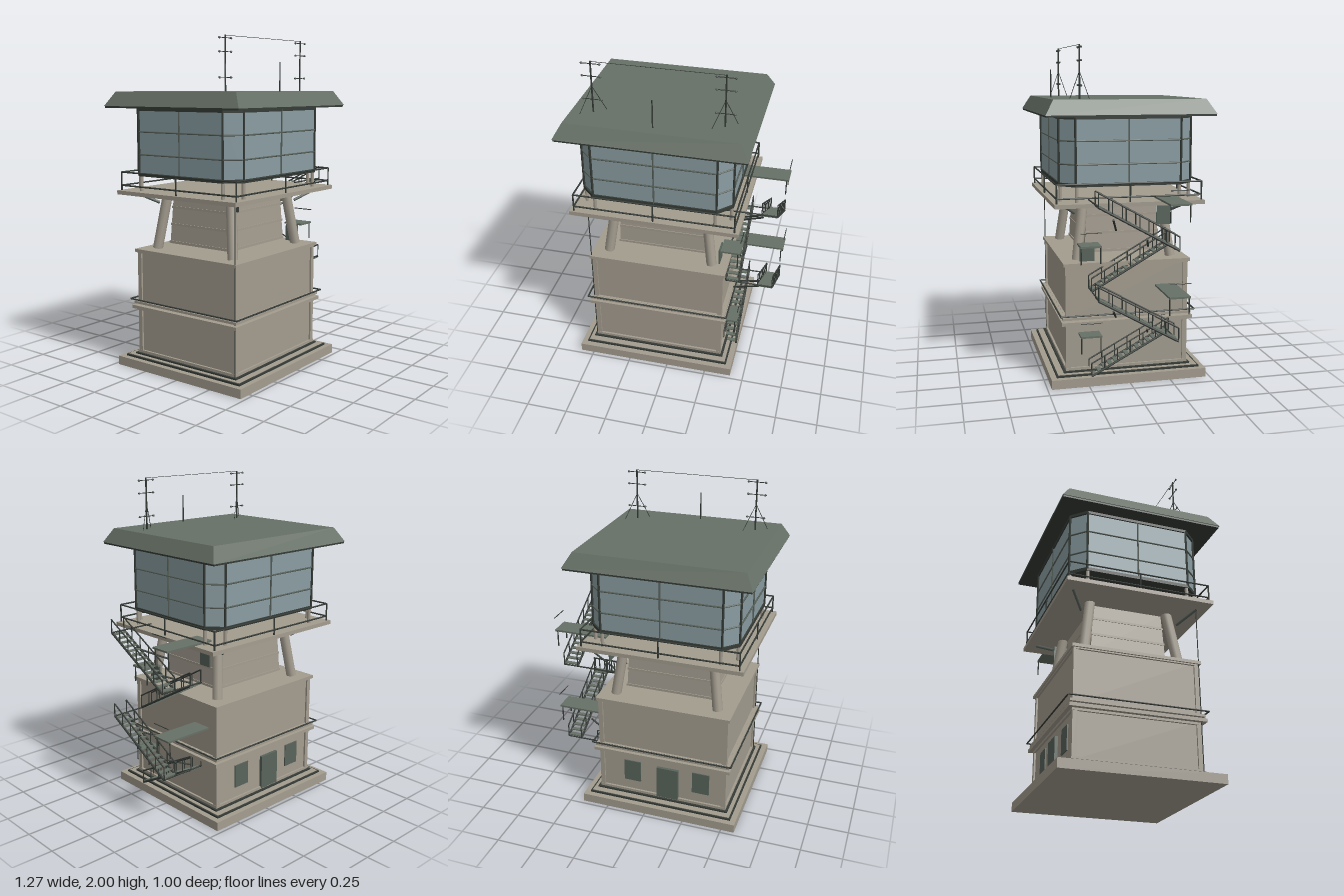
import * as THREE from 'three';

const CX = -0.083; // tower axis; the stairs hang off its left side

export function createModel() {
  const root = new THREE.Group();
  const mat = (name, color, side = THREE.FrontSide) => {
    const m = new THREE.MeshStandardMaterial({ color, side });
    m.name = name;
    return m;
  };
  const concrete = mat('concrete', 0xa39c8f);
  const green = mat('roofGreen', 0x667066);
  const dark = mat('darkMetal', 0x363c37);
  const glass = mat('glass', 0x8a9da2);
  const mullion = mat('mullion', 0x59625b);
  const door = mat('doorGreen', 0x58645b);

  const add = (name, geo, m, parent = root) => {
    const mesh = new THREE.Mesh(geo, m);
    mesh.name = name;
    parent.add(mesh);
    return mesh;
  };
  const group = (name) => {
    const g = new THREE.Group();
    g.name = name;
    root.add(g);
    return g;
  };
  // box given by its limits
  const box = (name, x0, x1, y0, y1, z0, z1, m, parent) => {
    const mesh = add(name, new THREE.BoxGeometry(x1 - x0, y1 - y0, z1 - z0), m, parent);
    mesh.position.set((x0 + x1) / 2, (y0 + y1) / 2, (z0 + z1) / 2);
    return mesh;
  };
  // slab centred on the tower axis
  const slab = (name, hx, hz, y0, y1, m, parent) => box(name, CX - hx, CX + hx, y0, y1, -hz, hz, m, parent);
  // round bar or square beam between two points
  const bar = (name, a, b, r, m = dark, parent = root, sides = 6) => {
    const p = new THREE.Vector3(...a), q = new THREE.Vector3(...b);
    const d = q.clone().sub(p);
    const mesh = add(name, new THREE.CylinderGeometry(r, r, d.length(), sides), m, parent);
    mesh.position.copy(p).add(q).multiplyScalar(0.5);
    mesh.quaternion.setFromUnitVectors(new THREE.Vector3(0, 1, 0), d.normalize());
    return mesh;
  };
  // four-sided tapered block
  const frustum = (name, bx, bz, tx, tz, y0, y1, m) => {
    const g = new THREE.BoxGeometry(2, y1 - y0, 2), p = g.attributes.position;
    for (let i = 0; i < p.count; i++) {
      const top = p.getY(i) > 0;
      p.setX(i, p.getX(i) * (top ? tx : bx));
      p.setZ(i, p.getZ(i) * (top ? tz : bz));
    }
    g.computeVertexNormals();
    add(name, g, m).position.set(CX, (y0 + y1) / 2, 0);
  };
  const corners = [[-1, -1], [-1, 1], [1, 1], [1, -1]];

  // foundation
  slab('foundation', 0.5, 0.475, 0, 0.055, concrete);
  slab('foundationEdge', 0.465, 0.44, 0.055, 0.066, dark);
  slab('foundationStep', 0.455, 0.43, 0.055, 0.069, concrete);
  slab('plinthShadowLine', 0.432, 0.392, 0.069, 0.078, dark);

  // two lower storeys with corner posts and ledges
  const storey = (name, y0, y1) => {
    const g = group(name);
    slab('wall', 0.405, 0.365, y0, y1, concrete, g);
    slab('baseTrim', 0.418, 0.378, y0, y0 + 0.016, concrete, g);
    slab('topTrim', 0.418, 0.378, y1 - 0.022, y1 - 0.008, concrete, g);
    for (const [sx, sz] of corners) {
      const x = CX + sx * 0.402, z = sz * 0.362;
      box('cornerPost', x - 0.014, x + 0.014, y0, y1, z - 0.014, z + 0.014, concrete, g);
    }
  };
  storey('lowerStorey', 0.078, 0.37);
  slab('lowerLedge', 0.443, 0.402, 0.362, 0.382, concrete);
  storey('middleStorey', 0.393, 0.73);
  slab('middleLedge', 0.435, 0.395, 0.393, 0.408, concrete);
  for (const s of [-1, 1]) {
    bar('ledgePipe', [CX - 0.45, 0.422, s * 0.41], [CX + 0.45, 0.422, s * 0.41], 0.005);
    bar('ledgePipe', [CX + s * 0.45, 0.422, -0.41], [CX + s * 0.45, 0.422, 0.41], 0.005);
  }
  slab('middleRoofLedge', 0.428, 0.388, 0.716, 0.735, concrete);

  // rear door and windows
  box('rearDoor', -0.19, -0.05, 0.085, 0.3, -0.384, -0.364, door);
  box('rearWindow', 0.06, 0.17, 0.16, 0.305, -0.372, -0.364, door);
  box('rearWindow', -0.39, -0.28, 0.16, 0.305, -0.372, -0.364, door);

  // recessed core with joints, raking legs and corner braces
  frustum('core', 0.275, 0.232, 0.258, 0.215, 0.765, 1.08, concrete);
  for (const [i, y] of [0.775, 0.885, 0.99].entries())
    slab('coreBand', 0.279 - i * 0.006, 0.236 - i * 0.006, y - 0.007, y + 0.007, concrete);
  for (const [sx, sz] of corners) {
    bar('leg', [CX + sx * 0.327, 0.735, sz * 0.29], [CX + sx * 0.28, 1.08, sz * 0.242], 0.031, concrete, root, 10);
    bar('cornerBrace', [CX + sx * 0.295, 1.015, sz * 0.3], [CX + sx * 0.41, 1.08, sz * 0.385], 0.009, mullion);
  }

  // balcony slab and railing
  slab('balcony', 0.51, 0.448, 1.076, 1.1, concrete);
  const rail = group('balconyRailing');
  const RX = 0.484, RZ = 0.433;
  for (const y of [1.13, 1.21]) {
    for (const s of [-1, 1]) {
      bar('rail', [CX - RX, y, s * RZ], [CX + RX, y, s * RZ], 0.005, dark, rail);
      bar('rail', [CX + s * RX, y, -RZ], [CX + s * RX, y, RZ], 0.005, dark, rail);
    }
  }
  for (const [sx, sz] of [...corners, [0, 1], [0, -1], [1, 0], [-1, 0]])
    bar('railPost', [CX + sx * RX, 1.1, sz * RZ], [CX + sx * RX, 1.21, sz * RZ], 0.005, dark, rail);

  // octagonal glazed cabin
  const ring = [];
  for (const [sx, sz] of corners) {
    const a = [sx * 0.37, sz * 0.4], b = [sx * 0.452, sz * 0.315];
    ring.push(...(sx * sz > 0 ? [a, b] : [b, a]));
  }
  const octagon = (name, k, y0, y1, m) => {
    const s = new THREE.Shape(ring.map(([x, z]) => new THREE.Vector2(x * k, -z * k)));
    const g = new THREE.ExtrudeGeometry(s, { depth: y1 - y0, bevelEnabled: false });
    g.rotateX(-Math.PI / 2);
    add(name, g, m).position.set(CX, y0, 0);
  };
  octagon('cabinFloor', 1.01, 1.19, 1.21, dark);
  octagon('cabinGlass', 0.99, 1.21, 1.58, glass);
  octagon('cabinHead', 1.01, 1.578, 1.6, dark);
  const frame = group('cabinFrame');
  ring.forEach(([x, z], i) => {
    const [u, w] = ring[(i + 1) % 8];
    bar('cornerMullion', [CX + x, 1.2, z], [CX + x, 1.59, z], 0.007, dark, frame);
    for (const y of [1.32, 1.455]) bar('transom', [CX + x, y, z], [CX + u, y, w], 0.005, mullion, frame);
    if (Math.hypot(x - u, z - w) > 0.3) {
      const mx = CX + (x + u) / 2, mz = (z + w) / 2;
      bar('middleMullion', [mx, 1.2, mz], [mx, 1.59, mz], 0.005, mullion, frame);
    }
    bar('cabinStub', [CX + x * 0.98, 1.1, z * 0.98], [CX + x * 0.98, 1.19, z * 0.98], 0.011, concrete, frame, 8);
  });

  // roof
  slab('roofEave', 0.548, 0.496, 1.595, 1.61, dark);
  frustum('roof', 0.553, 0.5, 0.505, 0.448, 1.606, 1.692, green);

  // roof aerials with guys and a wire between them
  for (const x of [-0.46, 0.3]) {
    const g = group('aerial'), z = 0.277;
    bar('mast', [x, 1.69, z], [x, 2, z], 0.005, dark, g);
    for (const y of [1.77, 1.91, 1.985]) {
      bar('crossbar', [x - 0.06, y, z], [x + 0.06, y, z], 0.0025, dark, g);
      for (const s of [-1, 1])
        add('insulator', new THREE.SphereGeometry(0.007, 8, 6), mullion, g).position.set(x + s * 0.052, y, z);
    }
    for (const s of [-1, 1])
      bar('guy', [x, 1.85, z], [x + s * 0.066, 1.69, z - s * 0.046], 0.002, dark, g);
  }
  bar('aerialWire', [-0.46, 1.998, 0.277], [0.3, 1.998, 0.277], 0.0015);
  bar('roofRod', [CX, 1.69, 0.385], [CX, 1.86, 0.385], 0.004);
  bar('groundCable', [-0.502, 0.06, 0.375], [-0.502, 1.08, 0.375], 0.003);

  // zigzag stairs: inner flights climb to the rear, outer flights to the front
  const levels = [0.06, 0.31, 0.578, 0.845, 1.11];
  for (let f = 0; f < 4; f++) {
    const g = group('stairFlight');
    const [x0, x1] = f % 2 ? [0.528, 0.618] : [0.328, 0.41];
    const dir = f % 2 ? 1 : -1, y0 = levels[f], y1 = levels[f + 1];
    const at = (t) => [y0 + (y1 - y0) * t, dir * (t - 0.5) * 0.47];
    for (const x of [x0, x1]) {
      const [ya, za] = at(0), [yb, zb] = at(1);
      bar('stringer', [x, ya, za], [x, yb, zb], 0.007, dark, g);
      bar('handrail', [x, ya + 0.08, za], [x, yb + 0.08, zb], 0.0045, dark, g);
      for (let i = 0; i <= 6; i++) {
        const [y, z] = at(i / 6);
        bar('baluster', [x, y, z], [x, y + 0.08, z], 0.0035, dark, g);
      }
    }
    for (let i = 0; i < 14; i++) {
      const [y, z] = at((i + 0.5) / 14);
      box('tread', x0, x1, y - 0.003, y + 0.004, z - 0.013, z + 0.013, green, g);
    }
    bar('landingBeam', [0.32, y1, dir * 0.232], [0.62, y1, dir * 0.232], 0.0045, dark, g);
  }
  for (const y of [0, 0.535]) {
    bar('stairBrace', [0.32, 0.28 + y, -0.13], [0.525, 0.365 + y, -0.07], 0.006);
    bar('stairBrace', [0.32, 0.385 + y, 0.067], [0.525, 0.485 + y, 0.13], 0.006);
  }

  // side platforms with legs and a loose guard rail
  const platform = (x1, y, z) => {
    const g = group('platform'), h = 0.063;
    box('deck', 0.3, x1, y - 0.006, y + 0.005, z - h, z + h, green, g);
    for (const s of [-1, 1]) bar('platformLeg', [x1 - 0.015, y, z + s * 0.058], [x1 - 0.015, y - 0.105, z + s * 0.058], 0.004, dark, g);
    bar('guardRail', [x1, y + 0.082, z - h], [x1, y + 0.082, z + h], 0.003, dark, g);
  };
  platform(0.42, 0.305, 0.236);
  platform(0.42, 0.845, 0.236);
  platform(0.635, 0.573, -0.237);
  platform(0.635, 1.11, -0.237);

  // side hatches beside the core
  box('sideHatch', 0.285, 0.294, 0.735, 0.84, 0.192, 0.28, door);
  box('sideHatch', 0.285, 0.294, 0.94, 1.078, -0.275, -0.19, door);

  return root;
}
